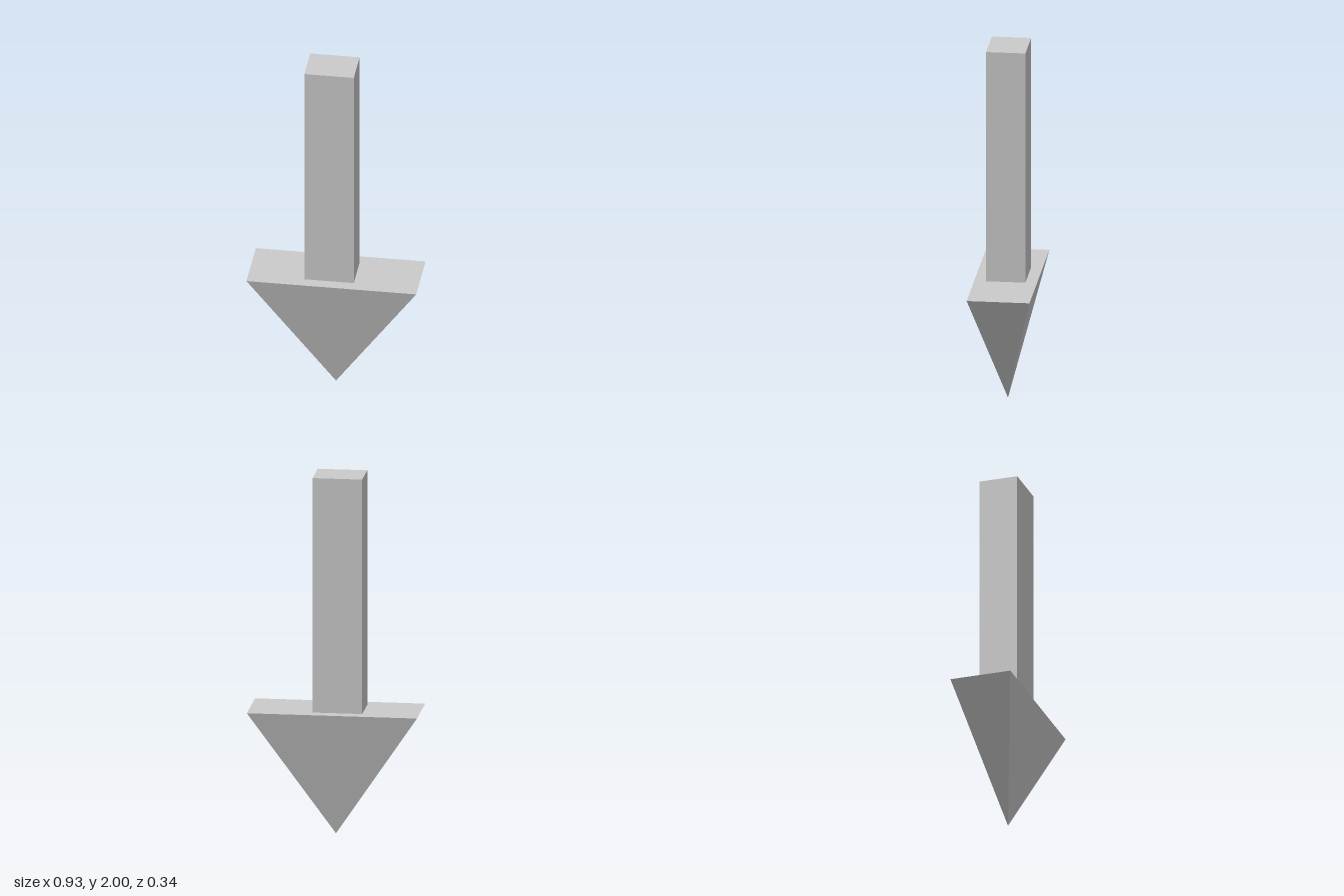
import * as THREE from 'three';

const HEAD = { width: 0.928, height: 0.695, depth: 0.342 };
const SHAFT = { width: 0.27, depth: 0.214, x: -0.022, z: -0.001 };
const TOP = 2;

export function createModel() {
  const group = new THREE.Group();
  group.name = 'downArrow';
  const material = new THREE.MeshStandardMaterial({ color: 0xcccccc, flatShading: true });

  // Arrowhead: four-sided pyramid with a unit square base, point down
  const headGeometry = new THREE.ConeGeometry(Math.SQRT1_2, 1, 4);
  headGeometry.rotateY(Math.PI / 4);
  headGeometry.rotateX(Math.PI);
  headGeometry.scale(HEAD.width, HEAD.height, HEAD.depth);
  const head = new THREE.Mesh(headGeometry, material);
  head.name = 'arrowHead';
  head.position.y = HEAD.height / 2;
  group.add(head);

  // Shaft: square-edged post standing slightly off centre on the head
  const length = TOP - HEAD.height;
  const shaft = new THREE.Mesh(new THREE.BoxGeometry(SHAFT.width, length, SHAFT.depth), material);
  shaft.name = 'shaft';
  shaft.position.set(SHAFT.x, HEAD.height + length / 2, SHAFT.z);
  group.add(shaft);

  return group;
}
